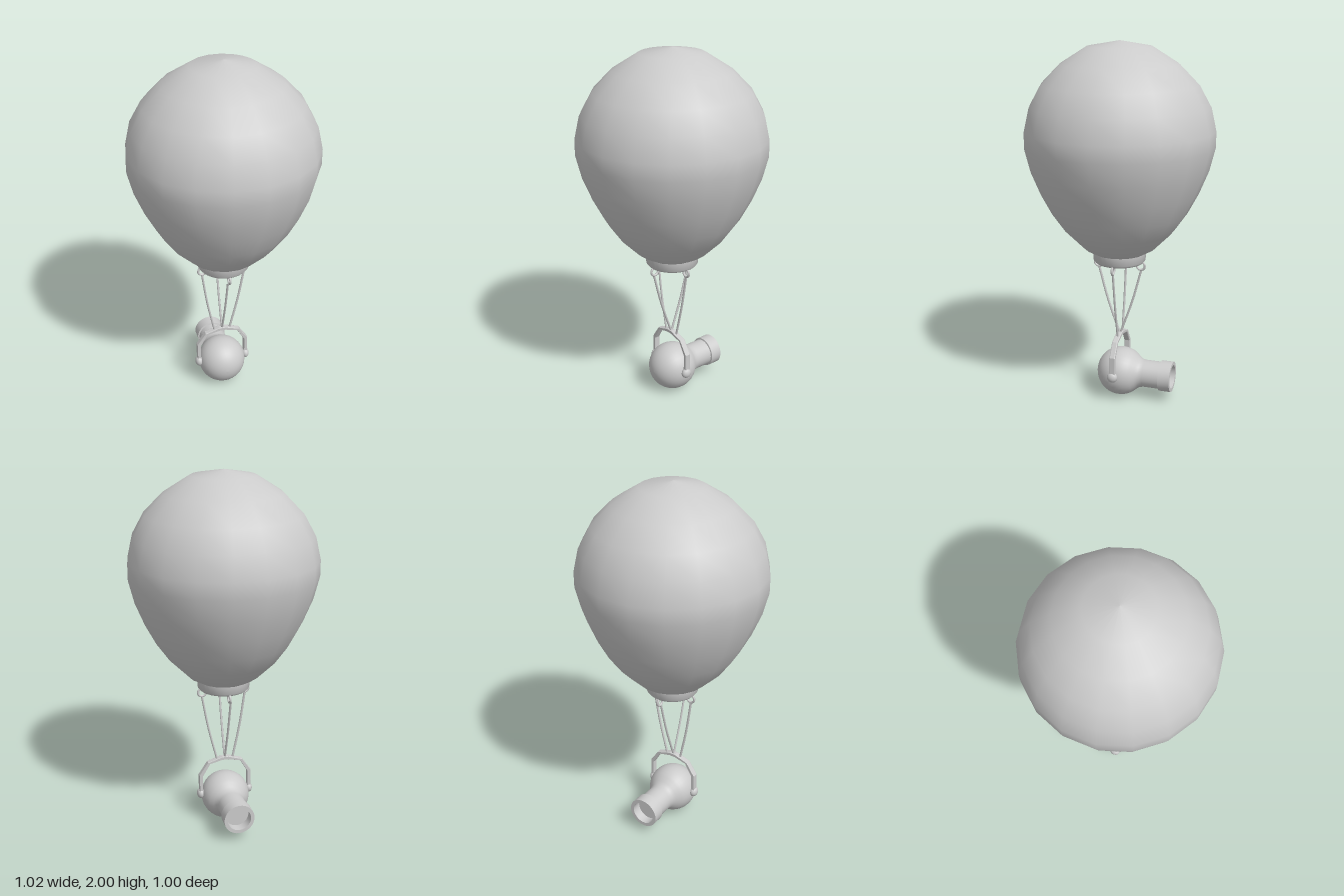
import * as THREE from 'three';
import { toCreasedNormals } from 'three/addons/utils/BufferGeometryUtils.js';

const grey = new THREE.MeshStandardMaterial({ color: 0xcccccc });
const greyDouble = new THREE.MeshStandardMaterial({ color: 0xcccccc, side: THREE.DoubleSide });

const lathe = (pts, sides) =>
  new THREE.LatheGeometry(pts.map(([r, y]) => new THREE.Vector2(r, y)), sides);

export function createModel() {
  const model = new THREE.Group();
  const add = (name, geometry, parent = model, material = grey) => {
    const mesh = new THREE.Mesh(geometry, material);
    mesh.name = name;
    parent.add(mesh);
    return mesh;
  };

  // Balloon: 18-sided teardrop, open at the mouth
  const envelope = lathe([
    [0.148, 0.86], [0.2, 0.89], [0.3, 0.99], [0.37, 1.09], [0.428, 1.2], [0.479, 1.325],
    [0.51, 1.45], [0.51, 1.537], [0.482, 1.66], [0.418, 1.775], [0.315, 1.88], [0.172, 1.97], [0, 2],
  ], 18);
  envelope.rotateY(Math.PI / 2);
  add('balloon', envelope, model, greyDouble);

  // Collar around the mouth
  const collar = lathe([
    [0.1, 0.815], [0.112, 0.803], [0.134, 0.803], [0.144, 0.815], [0.146, 0.868],
    [0.1, 0.868], [0.1, 0.815],
  ], 32);
  add('mouthCollar', toCreasedNormals(collar, 0.9));

  // Hanging head: sphere flowing into a neck with a hollow flared end, pointing back
  const cx = -0.008;
  const head = new THREE.Group();
  head.name = 'hangingHead';
  head.position.set(cx, 0.138, -0.008);
  model.add(head);
  const R = 0.137;
  const profile = [];
  for (let i = 0; i <= 16; i++) {
    const a = -Math.PI / 2 + (i / 16) * (Math.PI / 2 + 0.62);
    profile.push([i === 0 ? 0 : R * Math.cos(a), R * Math.sin(a)]);
  }
  profile.push([0.094, 0.1], [0.082, 0.117], [0.077, 0.14], [0.077, 0.235]);
  const body = lathe(profile, 32);
  body.rotateX(-Math.PI / 2);
  add('headAndNeck', body, head);

  const rim = lathe([
    [0.074, 0.232], [0.086, 0.235], [0.086, 0.302], [0.066, 0.302], [0.066, 0.25], [0, 0.25],
  ], 32);
  rim.rotateX(-Math.PI / 2);
  add('neckRim', toCreasedNormals(rim, 0.6), head);

  // Faceted yoke arching over the head
  const arch = (w, shoulder, s, top) => [
    [-w, 0.155], [-w, shoulder], [-s, shoulder + 0.075], [-0.018, top],
    [0.018, top], [s, shoulder + 0.075], [w, shoulder], [w, 0.155],
  ];
  const outline = [...arch(0.15, 0.275, 0.1, 0.376), ...arch(0.134, 0.268, 0.09, 0.36).reverse()];
  const yoke = new THREE.ExtrudeGeometry(
    new THREE.Shape(outline.map(([x, y]) => new THREE.Vector2(x, y))),
    { depth: 0.024, bevelEnabled: true, bevelSize: 0.002, bevelThickness: 0.004, bevelSegments: 1 });
  yoke.translate(cx, 0, -0.012);
  add('yoke', yoke);

  // Pivot knobs at the yoke ends
  for (const side of [-1, 1]) {
    const knob = add(side > 0 ? 'leftPivot' : 'rightPivot', new THREE.SphereGeometry(0.03, 16, 12));
    knob.scale.x = 0.75;
    knob.position.set(cx + side * 0.142, 0.155, 0.003);
  }

  // Four eyelets under the collar, each with a rope down to the yoke
  for (let i = 0; i < 4; i++) {
    const angle = (i * Math.PI) / 2;
    const dx = Math.round(Math.cos(angle));
    const dz = Math.round(Math.sin(angle));
    const eyelet = add('eyelet', new THREE.TorusGeometry(0.023, 0.0065, 8, 18));
    eyelet.position.set(dx * 0.122, 0.785, dz * 0.122);
    eyelet.rotation.y = angle;

    const end = new THREE.Vector3(cx + dx * 0.046, 0.365, 0);
    const start = new THREE.Vector3(dx * 0.124 + (dx ? 0 : cx), 0.765, dz * 0.124);
    const mid = start.clone().lerp(end, 0.5).add(new THREE.Vector3(dx * 0.006, 0, dz * 0.008));
    const path = new THREE.CatmullRomCurve3([start, mid, end]);
    add('rope', new THREE.TubeGeometry(path, 10, 0.0065, 6));
  }

  return model;
}
